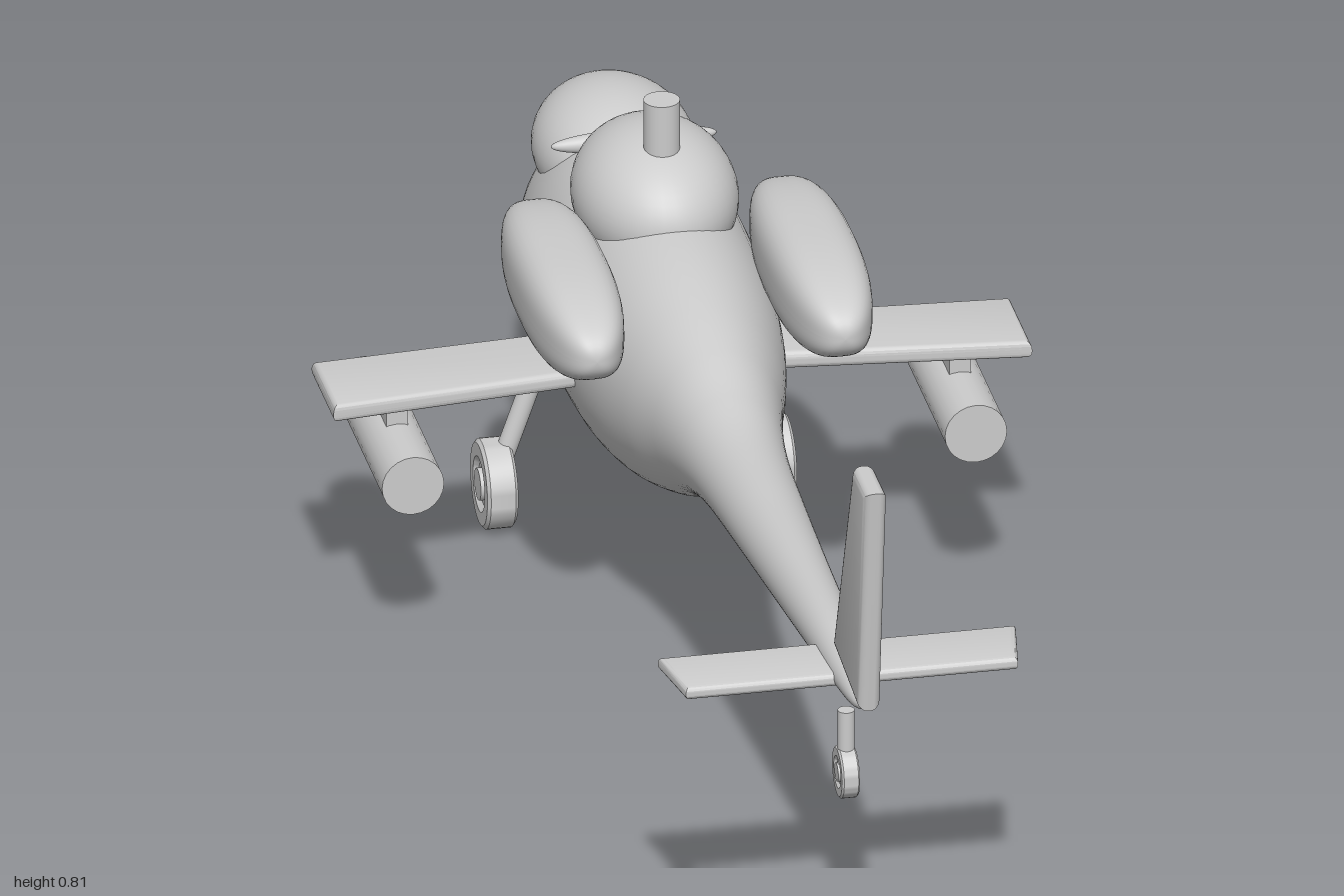
import * as THREE from 'three';
import { toCreasedNormals } from 'three/addons/utils/BufferGeometryUtils.js';
import { ParametricGeometry } from 'three/addons/geometries/ParametricGeometry.js';

export function createModel() {
  const model = new THREE.Group();
  model.name = 'helicopter';
  const grey = new THREE.MeshStandardMaterial({ color: 0xcccccc });
  grey.name = 'light grey';

  function add(name, geometry, x = 0, y = 0, z = 0) {
    const mesh = new THREE.Mesh(geometry, grey);
    mesh.name = name;
    mesh.position.set(x, y, z);
    model.add(mesh);
    return mesh;
  }

  const ellipsoid = (rx, ry, rz) => new THREE.SphereGeometry(1, 40, 28).scale(rx, ry, rz);

  // Round bar between two points
  function bar(name, a, b, r) {
    const from = new THREE.Vector3(...a), to = new THREE.Vector3(...b);
    const dir = to.clone().sub(from);
    const mesh = add(name, new THREE.CylinderGeometry(r, r, dir.length(), 24));
    mesh.position.copy(from).add(to).multiplyScalar(0.5);
    mesh.quaternion.setFromUnitVectors(new THREE.Vector3(0, 1, 0), dir.normalize());
  }

  // Flat plate with rounded edges, centred on its own thickness
  function plate(points, thickness) {
    const b = thickness * 0.42, depth = thickness - 2 * b;
    const shape = new THREE.Shape(points.map(([x, y]) => new THREE.Vector2(x, y)));
    const geo = new THREE.ExtrudeGeometry(shape, {
      depth, bevelEnabled: true, bevelSize: b, bevelThickness: b, bevelOffset: -b, bevelSegments: 5,
    });
    return toCreasedNormals(geo.translate(0, 0, -depth / 2), 0.6);
  }

  // Fuselage and tail boom: stations of z, bottom, top, half width
  const stations = [
    [-0.98, 0.279, 0.281, 0.001], [-0.973, 0.252, 0.315, 0.026], [-0.95, 0.233, 0.355, 0.052],
    [-0.91, 0.214, 0.405, 0.078], [-0.85, 0.198, 0.462, 0.104], [-0.77, 0.187, 0.515, 0.126],
    [-0.67, 0.181, 0.55, 0.142], [-0.56, 0.18, 0.564, 0.15], [-0.45, 0.182, 0.566, 0.15],
    [-0.34, 0.192, 0.563, 0.146], [-0.24, 0.214, 0.553, 0.134], [-0.14, 0.25, 0.535, 0.113],
    [-0.05, 0.292, 0.513, 0.09], [0.04, 0.324, 0.488, 0.073], [0.14, 0.346, 0.473, 0.062],
    [0.3, 0.366, 0.472, 0.053], [0.5, 0.388, 0.477, 0.043], [0.7, 0.412, 0.482, 0.034],
    [0.84, 0.427, 0.475, 0.025], [0.91, 0.437, 0.466, 0.016], [0.93, 0.451, 0.453, 0.001],
  ];
  const outline = new THREE.CatmullRomCurve3(stations.map(s => new THREE.Vector3(s[0], s[1], s[2])), false, 'catmullrom');
  const widths = new THREE.CatmullRomCurve3(stations.map(s => new THREE.Vector3(s[3], 0, 0)), false, 'catmullrom');
  const o = new THREE.Vector3(), w = new THREE.Vector3();
  add('fuselage', new ParametricGeometry((u, v, target) => {
    outline.getPoint(v, o);
    widths.getPoint(v, w);
    const a = u * Math.PI * 2;
    target.set(w.x * Math.cos(a), (o.y + o.z) / 2 + (o.z - o.y) / 2 * Math.sin(a), o.x);
  }, 56, 100));

  // Canopies, the sill between them and the rotor mast
  add('frontCanopy', ellipsoid(0.111, 0.09, 0.145), 0, 0.49, -0.74);
  add('rearCanopy', ellipsoid(0.113, 0.1, 0.15), 0, 0.55, -0.47);
  add('canopySill', ellipsoid(0.115, 0.016, 0.016), 0, 0.563, -0.608);
  bar('rotorMast', [0, 0.58, -0.423], [0, 0.713, -0.423], 0.025);

  // Engine pod: a sphere squared off in cross-section
  function podGeometry() {
    const geo = new THREE.SphereGeometry(1, 48, 40).rotateX(Math.PI / 2);
    const p = geo.attributes.position;
    for (let i = 0; i < p.count; i++) {
      const x = p.getX(i), y = p.getY(i), z = p.getZ(i);
      const q = Math.cbrt(Math.abs(x) ** 3 + Math.abs(y) ** 3);
      const s = (q ** 2.4 + Math.abs(z) ** 2.4) ** (-1 / 2.4);
      p.setXYZ(i, x * s * 0.065, y * s * 0.067, z * s * 0.23);
    }
    geo.computeVertexNormals();
    return geo;
  }

  // Wheel on an x axle
  function wheel(name, x, y, z, r, half) {
    const profile = [[0, -half * 0.7], [0.5, -half * 0.7], [0.62, -half], [0.92, -half], [1, -half * 0.8],
      [1, half * 0.8], [0.92, half], [0.62, half], [0.5, half * 0.7], [0, half * 0.7]];
    const tyre = new THREE.LatheGeometry(profile.map(([k, h]) => new THREE.Vector2(k * r, h)), 40);
    add(name + 'Tyre', toCreasedNormals(tyre, 0.6).rotateZ(Math.PI / 2), x, y, z);
    bar(name + 'Hub', [x - half * 1.08, y, z], [x + half * 1.08, y, z], r * 0.36);
  }

  for (const s of [1, -1]) {
    const side = s > 0 ? 'left' : 'right';
    add(side + 'EnginePod', podGeometry(), s * 0.172, 0.524, -0.256);

    // Stub wing with its pylon and store
    add(side + 'Wing', plate([[s * 0.08, -0.455], [s * 0.484, -0.427], [s * 0.484, -0.282], [s * 0.08, -0.325]], 0.027)
      .rotateX(Math.PI / 2), 0, 0.352, 0);
    add(side + 'Pylon', new THREE.BoxGeometry(0.03, 0.05, 0.1), s * 0.39, 0.325, -0.36);
    bar(side + 'Store', [s * 0.39, 0.273, -0.205], [s * 0.39, 0.273, -0.515], 0.043);
    add(side + 'StoreNose', ellipsoid(0.043, 0.043, 0.036), s * 0.39, 0.273, -0.515);

    // Main landing gear
    bar(side + 'GearStrut', [s * 0.142, 0.211, -0.607], [s * 0.193, 0.067, -0.607], 0.014);
    wheel(side + 'Wheel', s * 0.193, 0.0625, -0.609, 0.0625, 0.0215);
  }

  // Tail fin, tailplane and tail wheel
  add('tailFin', plate([[0.955, 0.455], [1, 0.805], [0.912, 0.805], [0.783, 0.475]], 0.032).rotateY(-Math.PI / 2));
  add('tailplane', plate([[-0.248, 0.738], [0.248, 0.738], [0.23, 0.84], [-0.23, 0.84]], 0.02)
    .rotateX(Math.PI / 2), 0, 0.447, 0);
  bar('tailStrut', [0, 0.3, 0.8], [0, 0.382, 0.8], 0.0115);
  wheel('tailWheel', 0, 0.289, 0.8, 0.0365, 0.0125);

  // Chin turret and gun barrel
  add('gunTurret', ellipsoid(0.049, 0.04, 0.049), 0, 0.165, -0.766);
  bar('gunBarrel', [0, 0.154, -0.766], [0, 0.154, -1], 0.0105);

  return model;
}
